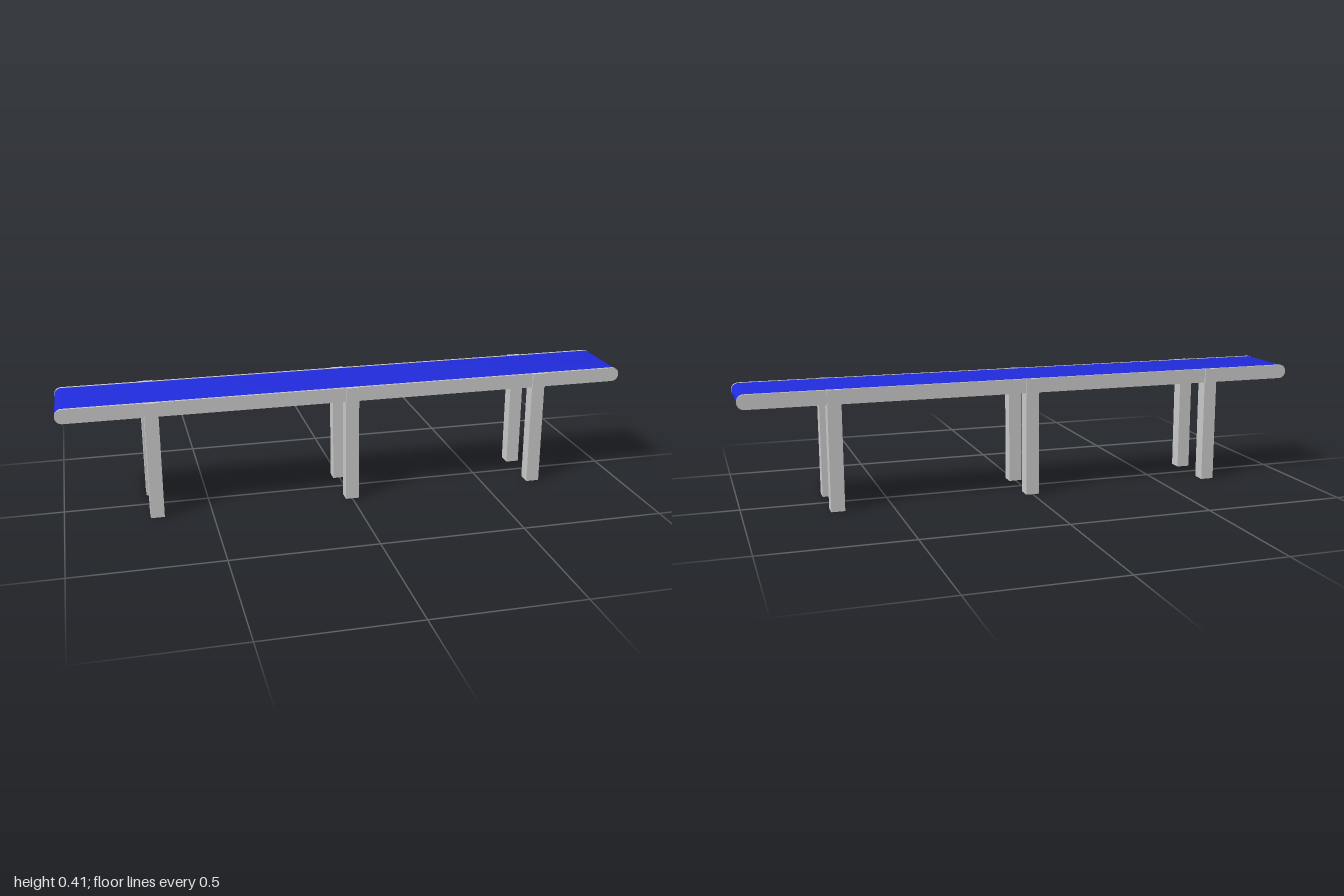
import * as THREE from 'three';
import { toCreasedNormals } from 'three/addons/utils/BufferGeometryUtils.js';

const grey = new THREE.MeshStandardMaterial({ color: 0xcccccc });
const blue = new THREE.MeshStandardMaterial({ color: 0x202bdc });

const BOTTOM = 0.365, TOP = 0.415, MID = 0.39;
const BELT = 0.113, RAIL = 0.122; // half widths in z

// Long bar with rounded ends, lying along x and extruded from z0 to z1
function roundedBar(radius, halfLength, z0, z1) {
  const c = halfLength - radius;
  const shape = new THREE.Shape();
  shape.moveTo(-c, -radius);
  shape.lineTo(c, -radius);
  shape.absarc(c, 0, radius, -Math.PI / 2, Math.PI / 2, false);
  shape.lineTo(-c, radius);
  shape.absarc(-c, 0, radius, Math.PI / 2, Math.PI * 1.5, false);
  const geometry = new THREE.ExtrudeGeometry(shape, {
    depth: z1 - z0, bevelEnabled: false, curveSegments: 16,
  });
  geometry.translate(0, MID, z0);
  return toCreasedNormals(geometry, 0.6);
}

export function createModel() {
  const group = new THREE.Group();
  group.name = 'conveyor';
  const add = (name, geometry, material, x = 0, y = 0, z = 0) => {
    const mesh = new THREE.Mesh(geometry, material);
    mesh.name = name;
    mesh.position.set(x, y, z);
    group.add(mesh);
  };

  // Belt wrapped over both end rollers, with a plate closing the underside
  add('belt', roundedBar(0.0242, 0.999, -BELT, BELT), blue);
  add('undersidePlate', new THREE.BoxGeometry(1.95, 0.004, BELT * 2), grey, 0, BOTTOM + 0.002, 0);

  const legGeometry = new THREE.BoxGeometry(0.047, BOTTOM, 0.048);
  const bracketGeometry = new THREE.BoxGeometry(0.047, TOP - BOTTOM, 0.006);

  for (const side of [1, -1]) {
    // Side rails
    const [z0, z1] = side > 0 ? [BELT, RAIL] : [-RAIL, -BELT];
    add(side > 0 ? 'frontRail' : 'backRail', roundedBar(0.025, 1, z0, z1), grey);

    // Legs, each with a bracket on the outside of the rail
    for (const x of [-0.688, 0, 0.688]) {
      add('leg', legGeometry, grey, x, BOTTOM / 2, side * 0.099);
      add('bracket', bracketGeometry, grey, x, MID, side * 0.125);
    }
  }
  return group;
}
